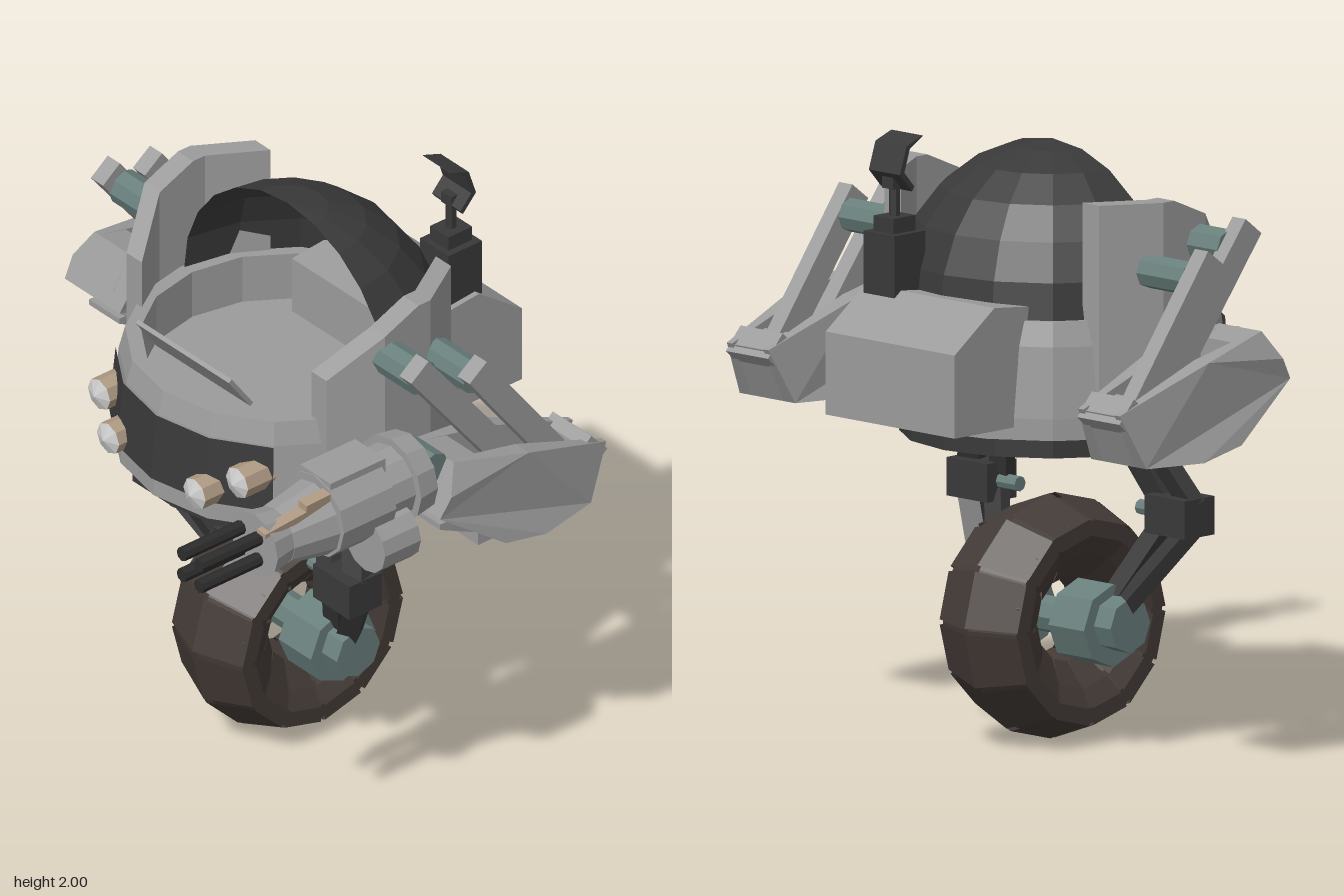
import * as THREE from 'three';

const mat = (color) => new THREE.MeshStandardMaterial({ color, flatShading: true, side: THREE.DoubleSide });

export function createModel() {
  const grey = mat(0x9b9b9b), lens = mat(0xc0c0c0), dark = mat(0x393939), black = mat(0x2c2c2c);
  const teal = mat(0x687f7c), rubber = mat(0x433a36), tan = mat(0xb09b84);
  const root = new THREE.Group();
  const body = new THREE.Group();
  body.name = 'body';
  body.position.x = -0.01;
  root.add(body);
  const CZ = -0.155; // centre of hull and wheel

  const add = (parent, name, geo, material, x = 0, y = 0, z = 0) => {
    const m = new THREE.Mesh(geo, material);
    m.name = name;
    m.position.set(x, y, z);
    parent.add(m);
    return m;
  };
  const box = (parent, name, material, w, h, d, x, y, z) =>
    add(parent, name, new THREE.BoxGeometry(w, h, d), material, x, y, z);
  const cylX = (r, len, n = 8) => new THREE.CylinderGeometry(r, r, len, n).rotateZ(Math.PI / 2);
  // cylinder along z; rf is the front radius
  const cylZ = (rf, rb, len, n = 12) => new THREE.CylinderGeometry(rf, rb, len, n).rotateX(Math.PI / 2);
  // side outline of [z, y] points, swept from x0 to x1
  const sideExtrude = (pts, x0, x1) =>
    new THREE.ExtrudeGeometry(new THREE.Shape(pts.map((p) => new THREE.Vector2(p[0], p[1]))),
      { depth: x1 - x0, bevelEnabled: false }).rotateY(-Math.PI / 2).translate(x1, 0, 0);
  // straight bar between two points
  const beam = (parent, name, material, a, b, w, d) => {
    const va = new THREE.Vector3(...a), vb = new THREE.Vector3(...b);
    const dir = vb.clone().sub(va);
    const m = add(parent, name, new THREE.BoxGeometry(w, dir.length(), d), material);
    m.position.copy(va).add(vb).multiplyScalar(0.5);
    m.quaternion.setFromUnitVectors(new THREE.Vector3(0, 1, 0), dir.normalize());
  };

  // Hull tub, base and front band
  const tub = [[0, 1.07], [0.56, 1.07], [0.56, 1.14], [0.54, 1.37], [0.52, 1.45], [0.47, 1.45], [0.47, 1.28], [0, 1.28]];
  add(body, 'hullTub', new THREE.LatheGeometry(tub.map((p) => new THREE.Vector2(...p)), 16), grey, 0, 0, CZ);
  add(body, 'hullBase', new THREE.CylinderGeometry(0.49, 0.49, 0.07, 16), dark, 0, 1.035, CZ);
  add(body, 'frontBand', new THREE.CylinderGeometry(0.55, 0.572, 0.23, 4, 1, true, -Math.PI / 4, Math.PI / 2),
    dark, 0, 1.255, CZ);

  // Rear half dome
  add(body, 'domeCanopy', new THREE.SphereGeometry(0.51, 8, 6, Math.PI, Math.PI, 0, Math.PI / 2), dark, 0, 1.437, CZ);

  // Rear engine pack and windscreen
  add(body, 'rearPack', sideExtrude(
    [[-0.42, 1.25], [-0.42, 1.48], [-0.71, 1.51], [-0.89, 1.38], [-0.89, 1.11], [-0.6, 1.11]], -0.29, 0.29), grey);
  beam(body, 'windscreen', grey, [0, 1.44, 0.19], [0, 1.565, 0.28], 0.46, 0.015);

  // Sensor mast with curved dish
  const mx = 0.2;
  box(body, 'sensorBase', dark, 0.14, 0.24, 0.14, mx, 1.57, -0.67);
  box(body, 'sensorCap', dark, 0.09, 0.05, 0.1, mx, 1.715, -0.67);
  add(body, 'sensorRod', new THREE.CylinderGeometry(0.018, 0.018, 0.12, 6), dark, mx, 1.79, -0.67);
  box(body, 'sensorBracket', dark, 0.05, 0.04, 0.05, mx, 1.85, -0.675);
  add(body, 'sensorDish', sideExtrude([[-0.61, 2], [-0.67, 1.965], [-0.695, 1.89], [-0.65, 1.84],
    [-0.66, 1.825], [-0.715, 1.885], [-0.685, 1.975], [-0.615, 2]], mx - 0.07, mx + 0.07), dark);

  // Headlights
  for (const s of [-1, 1]) {
    for (const [x, y, z0, z1] of [[0.34, 1.26, 0.22, 0.345], [0.213, 1.185, 0.28, 0.415]]) {
      add(body, 'headlight', cylZ(0.055, 0.055, z1 - z0, 8), tan, s * x, y, (z0 + z1) / 2);
      add(body, 'headlightLens', new THREE.ConeGeometry(0.055, 0.022, 8).rotateX(Math.PI / 2), lens, s * x, y, z1 + 0.011);
    }
  }

  // Bent side armour plates
  const az = [-0.43, -0.25, -0.2, -0.06, 0.1];
  const top = [1.83, 1.83, 1.83, 1.77, 1.62];
  const bend = [-0.11, 0, 0, 0, -0.1];
  for (const s of [-1, 1]) {
    const g = new THREE.BoxGeometry(0.075, 1, 1, 1, 1, 4);
    const p = g.attributes.position;
    for (let i = 0; i < p.count; i++) {
      const k = Math.round((p.getZ(i) + 0.5) * 4);
      p.setXYZ(i, p.getX(i) + s * (0.555 + bend[k]), p.getY(i) > 0 ? top[k] : 1.15, az[k]);
    }
    add(body, 'sideArmour', g, grey);
  }

  // Legs and wheel hubs
  for (const s of [-1, 1]) {
    beam(body, 'upperStrutOuter', dark, [s * 0.39, 1.02, -0.11], [s * 0.5, 0.8, -0.02], 0.05, 0.08);
    beam(body, 'upperStrutInner', dark, [s * 0.275, 1.02, -0.11], [s * 0.36, 0.8, -0.02], 0.04, 0.08);
    box(body, 'legJoint', dark, 0.18, 0.125, 0.135, s * 0.445, 0.768, -0.028);
    add(body, 'jointPin', cylX(0.025, 0.09), teal, s * 0.315, 0.77, -0.03);
    beam(body, 'lowerStrutOuter', dark, [s * 0.5, 0.73, -0.03], [s * 0.3, 0.45, -0.155], 0.05, 0.07);
    beam(body, 'lowerStrutInner', dark, [s * 0.375, 0.73, -0.03], [s * 0.24, 0.45, -0.155], 0.045, 0.07);
    add(body, 'wheelHub', cylX(0.135, 0.16), teal, s * 0.195, 0.4, CZ);
    add(body, 'hubCap', cylX(0.09, 0.08), teal, s * 0.31, 0.41, CZ);
  }
  add(body, 'axle', cylX(0.06, 0.3), teal, 0, 0.4, CZ);

  // Tyre and raised tread wedges that reach into the wheel opening
  const wheel = new THREE.Group();
  wheel.name = 'wheel';
  wheel.position.set(0, 0.397, CZ);
  body.add(wheel);
  const tyre = [[0.165, -0.07], [0.21, -0.12], [0.28, -0.165], [0.33, -0.165], [0.382, 0],
    [0.33, 0.165], [0.28, 0.165], [0.21, 0.12], [0.165, 0.07], [0.165, -0.07]];
  add(wheel, 'tyre', new THREE.LatheGeometry(tyre.map((p) => new THREE.Vector2(...p)), 24).rotateZ(Math.PI / 2), rubber);
  const tread = [[0.14, 0], [0.14, -0.07], [0.22, -0.14], [0.28, -0.175], [0.335, -0.175], [0.399, 0],
    [0.335, 0.175], [0.28, 0.175], [0.22, 0.14], [0.14, 0.07], [0.14, 0]];
  const step = Math.PI / 6;
  for (let i = 0; i < 12; i++) {
    const g = new THREE.LatheGeometry(tread.map((p) => new THREE.Vector2(...p)), 1, (i + 0.05) * step, step * 0.9);
    add(wheel, 'treadBlock', g.rotateZ(Math.PI / 2), rubber);
  }

  // Arms: shoulder pins, links and hollow forearm shells
  const shell = [[0, 1.27], [-0.04, 1.34], [-0.09, 1.43], [-0.37, 1.37], [-0.73, 1.24], [-0.64, 1.06],
    [-0.42, 1.055], [-0.25, 1.09]];
  const shellHalf = (z, y) => Math.min(0.165, 0.165 - Math.max(0, y - 1.33) * 0.7, 0.09 + (z + 0.74) * 0.35, 0.135 - z * 0.2);
  for (const s of [-1, 1]) {
    const arm = new THREE.Group();
    arm.name = s > 0 ? 'leftArm' : 'rightArm';
    arm.position.x = s * 0.79;
    root.add(arm);
    add(arm, 'shoulderPinFront', cylX(0.06, 0.2), teal, -s * 0.15, 1.68, -0.085);
    add(arm, 'shoulderPinRear', cylX(0.055, 0.2), teal, -s * 0.12, 1.61, -0.285);
    beam(arm, 'frontLink', grey, [-s * 0.03, 1.75, -0.03], [-s * 0.03, 1.25, -0.42], 0.06, 0.09);
    beam(arm, 'rearLink', grey, [s * 0.01, 1.68, -0.24], [s * 0.01, 1.2, -0.6], 0.06, 0.09);
    for (const side of [-1, 1]) {
      // outer face of each wall leans in towards top, front and rear
      const g = sideExtrude(shell, -0.5, 0.5);
      const p = g.attributes.position;
      for (let i = 0; i < p.count; i++) {
        const outer = p.getX(i) * side > 0;
        p.setX(i, side * (outer ? shellHalf(p.getZ(i), p.getY(i)) : 0.07));
      }
      add(arm, 'forearmWall', g, grey);
    }
    add(arm, 'forearmBridge', sideExtrude(
      [[0, 1.27], [-0.09, 1.43], [-0.2, 1.405], [-0.2, 1.32], [-0.12, 1.2]], -0.075, 0.075), grey);
    add(arm, 'forearmFloor', sideExtrude(
      [[-0.05, 1.2], [-0.5, 1.18], [-0.58, 1.27], [-0.72, 1.235], [-0.64, 1.06], [-0.3, 1.06], [-0.05, 1.18]], -0.075, 0.075), grey);
    box(arm, 'elbowBlock', grey, 0.15, 0.15, 0.18, 0, 1.13, -0.3);
    // rear elbow bracket
    beam(arm, 'elbowBracket', grey, [0, 1.16, -0.6], [0, 1.25, -0.7], 0.19, 0.1);
  }

  // Multi-barrel gun on the left arm
  const gun = new THREE.Group();
  gun.name = 'gun';
  gun.position.set(0.775, 1.385, 0);
  root.add(gun);
  add(gun, 'gunMount', cylX(0.06, 0.15), teal, 0, 0.02, -0.04);
  add(gun, 'rearFlange', cylZ(0.152, 0.14, 0.08), grey, 0, 0, 0.04);
  add(gun, 'gunNeck', cylZ(0.125, 0.125, 0.12), grey, 0, 0, 0.12);
  add(gun, 'gunBody', cylZ(0.147, 0.147, 0.22), grey, 0, 0, 0.29);
  add(gun, 'bodyCover', new THREE.BoxGeometry(0.15, 0.05, 0.23), grey, 0, 0.125, 0.28);
  add(gun, 'barrelSleeve', cylZ(0.115, 0.095, 0.1), grey, 0, -0.01, 0.6);
  add(gun, 'barrelHousing', cylZ(0.1, 0.13, 0.17), grey, 0, -0.01, 0.48);
  for (const x of [-0.065, 0.02]) {
    for (const y of [-0.055, 0.025]) add(gun, 'barrel', cylZ(0.024, 0.024, 0.3, 8), black, x, y, 0.75);
  }
  const sight = add(gun, 'sightRail', sideExtrude(
    [[0.38, 0.06], [0.38, 0.12], [0.5, 0.115], [0.5, 0.09], [0.67, 0.075], [0.67, 0.06]], -0.02, 0.02), tan, 0.05, 0, 0);
  sight.rotation.z = -0.1;
  add(gun, 'ammoDrum', cylZ(0.1, 0.1, 0.15), grey, 0.085, -0.13, 0.185);

  return root;
}
